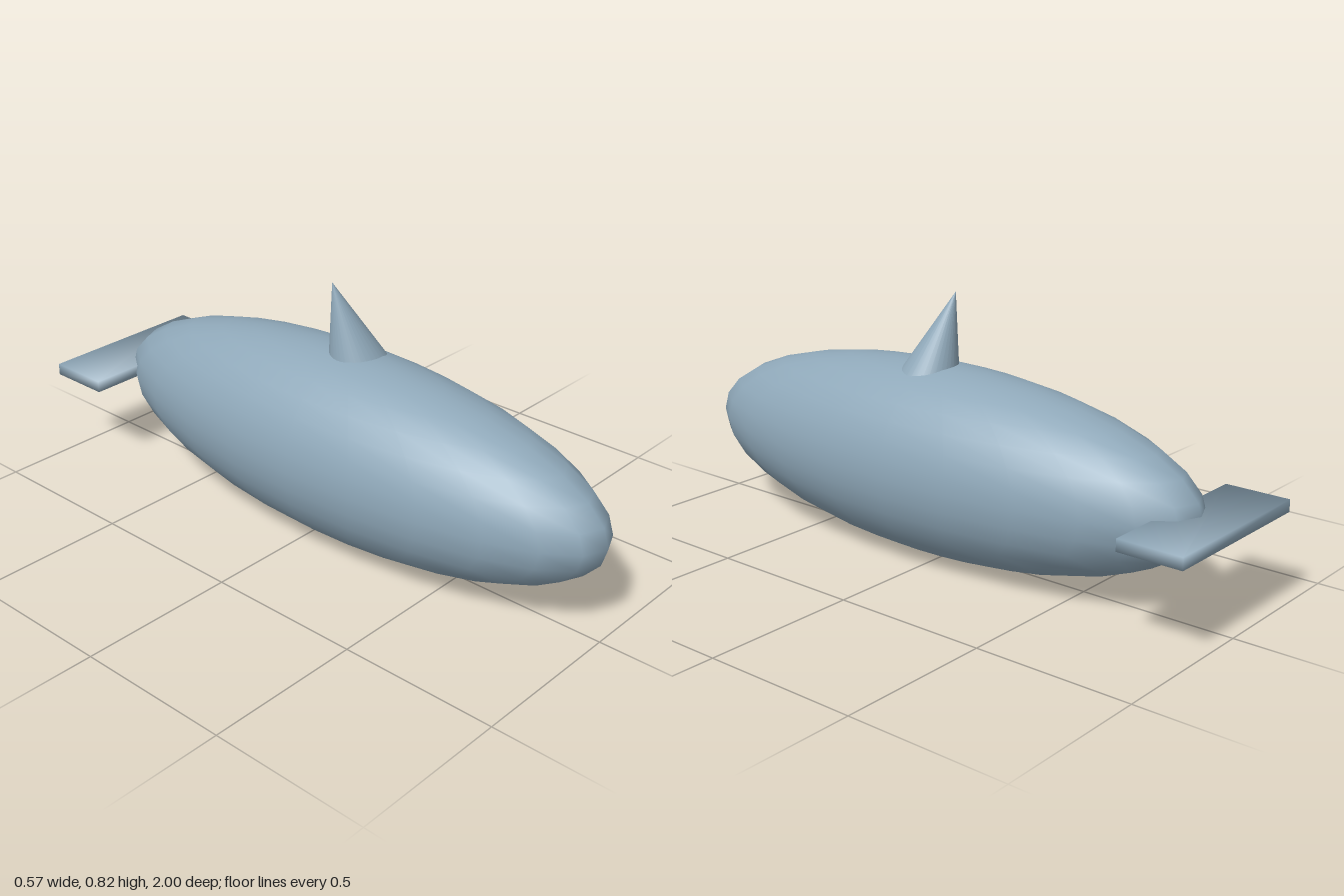
import * as THREE from 'three';

// Box with eight shared corners, shaded softly across its edges
function softBox(w, h, d) {
  const geometry = new THREE.BoxGeometry(w, h, d);
  const position = geometry.attributes.position;
  const normal = geometry.attributes.normal;
  const n = new THREE.Vector3();
  for (let i = 0; i < position.count; i++) {
    n.set(Math.sign(position.getX(i)), Math.sign(position.getY(i)), Math.sign(position.getZ(i))).normalize();
    normal.setXYZ(i, n.x, n.y, n.z);
  }
  return geometry;
}

export function createModel() {
  const group = new THREE.Group();
  const blueGrey = new THREE.MeshStandardMaterial({ color: 0x8fa8b9 });
  blueGrey.name = 'blueGrey';

  function add(name, geometry) {
    const mesh = new THREE.Mesh(geometry, blueGrey);
    mesh.name = name;
    group.add(mesh);
    return mesh;
  }

  // Long ellipsoid hull
  const hull = new THREE.SphereGeometry(1, 24, 16);
  hull.scale(0.283, 0.303, 0.945);
  add('body', hull).position.set(0, 0.303, 0.055);

  // Leaning cone on the back, its base sunk into the hull
  const length = 0.35;
  const cone = new THREE.ConeGeometry(0.119, length, 32);
  cone.translate(0, -length / 2, 0); // tip at the origin
  const dorsal = add('dorsalFin', cone);
  const lean = new THREE.Vector3(-0.204, 1, -0.208).normalize();
  dorsal.quaternion.setFromUnitVectors(new THREE.Vector3(0, 1, 0), lean);
  dorsal.position.set(-0.033, 0.825, 0.02);

  // Flat tail plate across the stern
  add('tailFin', softBox(0.566, 0.038, 0.206)).position.set(0, 0.308, -0.897);

  return group;
}
